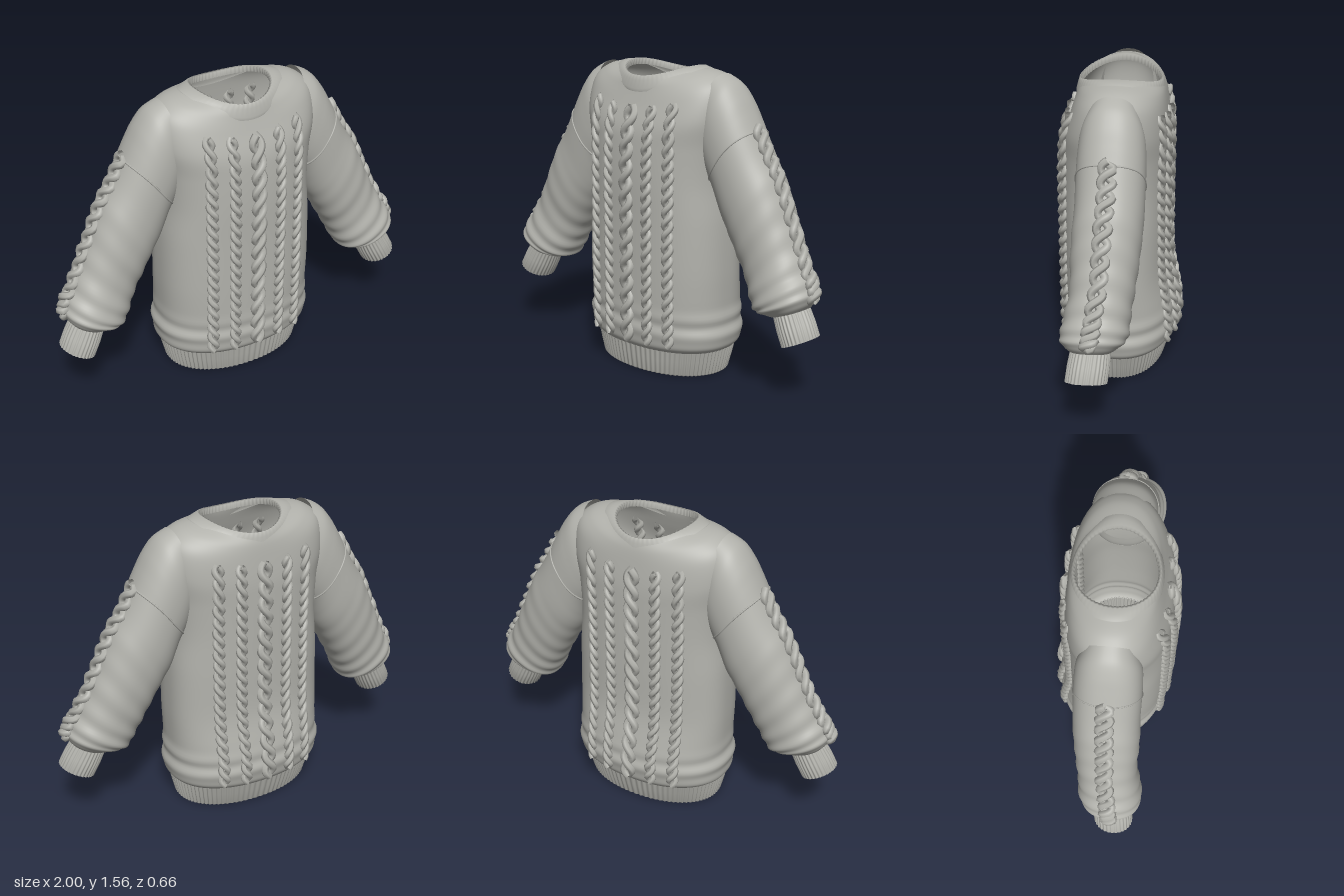
import * as THREE from 'three';

const TAU = Math.PI * 2;
const wool = new THREE.MeshStandardMaterial({ color: 0xb2b2ac, side: THREE.DoubleSide });
wool.name = 'greyWool';

// Torso sections: half width, front z, back z, y at centre, y at sides, squareness
const BODY = [
  [0.400, 0.265, -0.270, 0.135, 0.135, 2.2],
  [0.425, 0.285, -0.290, 0.170, 0.170, 2.3],
  [0.430, 0.292, -0.300, 0.250, 0.250, 2.3],
  [0.418, 0.290, -0.285, 0.360, 0.360, 2.4],
  [0.420, 0.290, -0.250, 0.550, 0.550, 2.5],
  [0.415, 0.290, -0.245, 0.800, 0.800, 2.5],
  [0.400, 0.292, -0.245, 1.000, 1.000, 2.5],
  [0.410, 0.285, -0.245, 1.170, 1.180, 2.5],
  [0.435, 0.272, -0.243, 1.270, 1.340, 2.5],
  [0.420, 0.235, -0.232, 1.380, 1.470, 2.4],
  [0.350, 0.213, -0.222, 1.450, 1.530, 2.2],
  [0.250, 0.205, -0.210, 1.490, 1.552, 2.0],
  [0.200, 0.200, -0.200, 1.510, 1.555, 2.0],
];
// Sleeve sections: outer x, y, inner x, y, centre z, half depth
const SLEEVE = [
  [0.380, 1.537, 0.300, 1.200, 0.00, 0.130],
  [0.450, 1.500, 0.310, 1.110, 0.00, 0.155],
  [0.505, 1.435, 0.340, 1.030, 0.00, 0.163],
  [0.548, 1.360, 0.380, 0.960, 0.00, 0.165],
  [0.590, 1.280, 0.405, 0.900, 0.00, 0.165],
  [0.650, 1.170, 0.430, 0.840, 0.00, 0.165],
  [0.720, 1.060, 0.475, 0.765, 0.005, 0.165],
  [0.780, 0.930, 0.530, 0.670, 0.01, 0.160],
  [0.840, 0.800, 0.580, 0.580, 0.015, 0.152],
  [0.900, 0.680, 0.620, 0.500, 0.03, 0.155],
  [0.950, 0.600, 0.655, 0.440, 0.04, 0.160],
  [0.965, 0.540, 0.690, 0.428, 0.05, 0.145],
  [0.935, 0.485, 0.760, 0.420, 0.055, 0.100],
];

// Smooth interpolation between listed sections
function sample(rows, t) {
  const last = rows.length - 1;
  const i = Math.min(Math.max(Math.floor(t), 0), last - 1), f = t - i;
  const p = rows[Math.max(i - 1, 0)], q = rows[i], r = rows[i + 1], s = rows[Math.min(i + 2, last)];
  return q.map((_, k) => q[k] + 0.5 * f * (r[k] - p[k]
    + f * (2 * p[k] - 5 * q[k] + 4 * r[k] - s[k] + f * (3 * (q[k] - r[k]) + s[k] - p[k]))));
}

const spow = (v, e) => Math.sign(v) * Math.pow(Math.abs(v), e);

// Closed-loop surface from point(t, angle)
function loft(name, point, t0, t1, steps, around) {
  const pos = [], index = [];
  for (let j = 0; j <= steps; j++) {
    for (let i = 0; i < around; i++) {
      pos.push(...point(t0 + (t1 - t0) * j / steps, TAU * i / around));
      if (j === steps) continue;
      const a = j * around + i, b = j * around + (i + 1) % around;
      index.push(a, a + around, b, b, a + around, b + around);
    }
  }
  const g = new THREE.BufferGeometry();
  g.setAttribute('position', new THREE.Float32BufferAttribute(pos, 3));
  g.setIndex(index);
  g.computeVertexNormals();
  const mesh = new THREE.Mesh(g, wool);
  mesh.name = name;
  return mesh;
}

function tube(name, pts, segments, radius, closed = false) {
  const curve = new THREE.CatmullRomCurve3(pts, closed);
  curve.arcLengthDivisions = 500;
  const mesh = new THREE.Mesh(new THREE.TubeGeometry(curve, segments, radius, 6, closed), wool);
  mesh.name = name;
  return mesh;
}

function bodyPoint(t, a) {
  const [w, zf, zb, yf, ys, n] = sample(BODY, t);
  const c = spow(Math.cos(a), 2 / n), s = spow(Math.sin(a), 2 / n);
  const y = yf + (ys - yf) * c * c;
  // soft folds where the knit gathers above the hem
  const k = 1 + 0.018 * Math.sin(y * 60 + c) * Math.exp(-(((y - 0.27) / 0.07) ** 2));
  return [w * c * k, y, (s > 0 ? zf : -zb) * s * k];
}

function sleevePoint(side, t, a, lift = 0) {
  const [ox, oy, ix, iy, zc, zr] = sample(SLEEVE, t);
  const gather = Math.min(Math.max((t - 5) / 4, 0), 1) * Math.min(12 - t, 1);
  const k = 1 + 0.025 * gather * Math.sin(t * 6.5 + Math.cos(a) * 1.5) + lift / 0.17;
  const c = spow(Math.cos(a), 0.92) * k, s = spow(Math.sin(a), 0.88) * k;
  return [side * ((ox + ix) / 2 + (ox - ix) / 2 * c), (oy + iy) / 2 + (oy - iy) / 2 * c, zc - side * zr * s];
}

// Two twisted strands laid on a surface: place(s, across, lift)
function cable(name, place, lobes, width, radius, hand) {
  const group = new THREE.Group();
  group.name = name;
  for (const start of [0, Math.PI]) {
    const pts = [];
    for (let i = 0; i <= lobes * 6; i++) {
      const s = i / (lobes * 6), phase = Math.PI * lobes * s + start;
      pts.push(new THREE.Vector3(...place(s, hand * width * Math.sin(phase), 0.004 + 0.010 * Math.cos(phase))));
    }
    group.add(tube('strand', pts, lobes * 8, radius));
  }
  return group;
}

// Position on the torso front (face 1) or back (face -1) at a given x and height
function onTorso(face, x, y, lift) {
  let lo = 0, hi = 11;
  for (let i = 0; i < 24; i++) {
    const mid = (lo + hi) / 2;
    if (sample(BODY, mid)[3] < y) lo = mid; else hi = mid;
  }
  const [w, zf, zb, yf, ys, n] = sample(BODY, lo);
  const q = Math.abs(x / w);
  return [x, yf + (ys - yf) * q * q, (face > 0 ? zf : zb) * Math.pow(1 - Math.pow(q, n), 1 / n) + face * lift];
}

function createSleeve(side) {
  const group = new THREE.Group();
  group.name = side > 0 ? 'leftSleeve' : 'rightSleeve';
  group.add(loft('sleeve', (t, a) => sleevePoint(side, t, a), 0, 12, 84, 64));

  // dropped shoulder seam
  const seam = [];
  for (let i = 0; i < 40; i++) {
    const a = TAU * i / 40;
    seam.push(new THREE.Vector3(...sleevePoint(side, 4 - 0.8 * (1 - Math.cos(a)), a)));
  }
  group.add(tube('shoulderSeam', seam, 80, 0.005, true));

  // cable along the outside of the arm
  group.add(cable('sleeveCable', (s, across, lift) => {
    const t = 3.9 + 7.3 * s;
    const a = -side * Math.sign(across) * Math.pow(Math.abs(across) / 0.16, 1 / 0.88);
    return sleevePoint(side, t, a, lift);
  }, 14, 0.028, 0.02, side));

  // ribbed cuff, turned in at the open end
  const CUFF = [
    [0.925, 0.490, 0.765, 0.425, 0.053, 0.093],
    [0.965, 0.425, 0.795, 0.355, 0.060, 0.098],
    [0.998, 0.360, 0.832, 0.285, 0.067, 0.098],
    [0.984, 0.354, 0.846, 0.291, 0.067, 0.082],
    [0.950, 0.430, 0.812, 0.365, 0.060, 0.080],
    [0.905, 0.490, 0.785, 0.430, 0.053, 0.070],
  ];
  group.add(loft('cuff', (t, a) => {
    const [ox, oy, ix, iy, zc, zr] = CUFF[Math.round(t)];
    const k = 1 + 0.025 * Math.cos(a * 30);
    const c = Math.cos(a) * k;
    return [side * ((ox + ix) / 2 + (ox - ix) / 2 * c), (oy + iy) / 2 + (oy - iy) / 2 * c, zc - side * zr * Math.sin(a) * k];
  }, 0, 5, 5, 180));
  return group;
}

export function createModel() {
  const model = new THREE.Group();
  model.name = 'cableKnitSweater';
  model.add(loft('torso', bodyPoint, 0, 12, 96, 96));

  // ribbed hem: inside, bottom edge, then outside
  const HEM = [
    [0.385, 0.250, -0.255, 0.145], [0.352, 0.228, -0.213, 0.010], [0.360, 0.238, -0.225, 0.000],
    [0.370, 0.246, -0.233, 0.008], [0.388, 0.257, -0.255, 0.080], [0.402, 0.266, -0.272, 0.145],
  ];
  model.add(loft('hem', (t, a) => {
    const [w, zf, zb, y] = HEM[Math.round(t)];
    const k = 1 + 0.012 * Math.cos(a * 84);
    const c = spow(Math.cos(a), 0.94), s = spow(Math.sin(a), 0.94);
    return [w * c * k, y, (s > 0 ? zf : -zb) * s * k];
  }, 0, 5, 5, 504));

  // neckband lying over the neck edge and turned inside
  const COLLAR = [
    [0.268, 0.221, 1.435, 1.545], [0.266, 0.222, 1.450, 1.554], [0.235, 0.212, 1.490, 1.558],
    [0.206, 0.203, 1.514, 1.562], [0.194, 0.194, 1.510, 1.558], [0.200, 0.192, 1.480, 1.530],
  ];
  model.add(loft('neckband', (t, a) => {
    const [w, z, yf, ys] = COLLAR[Math.round(t)];
    const c = Math.cos(a), k = 1 + (t > 2.5 ? 0.008 * Math.cos(a * 60) : 0);
    return [w * c * k, yf + (ys - yf) * c * c, z * Math.sin(a) * k];
  }, 0, 5, 5, 240));

  // five cables on the front and five on the back
  for (const face of [1, -1]) {
    for (const x of [-0.243, -0.128, 0, 0.128, 0.243]) {
      const centre = x === 0;
      model.add(cable(face > 0 ? 'frontCable' : 'backCable',
        (s, across, lift) => onTorso(face, x + across, 0.175 + 1.19 * s, lift),
        centre ? 14 : 20, centre ? 0.024 : 0.016, centre ? 0.02 : 0.0155, x < 0 ? -1 : 1));
    }
  }

  model.add(createSleeve(1), createSleeve(-1));
  return model;
}
